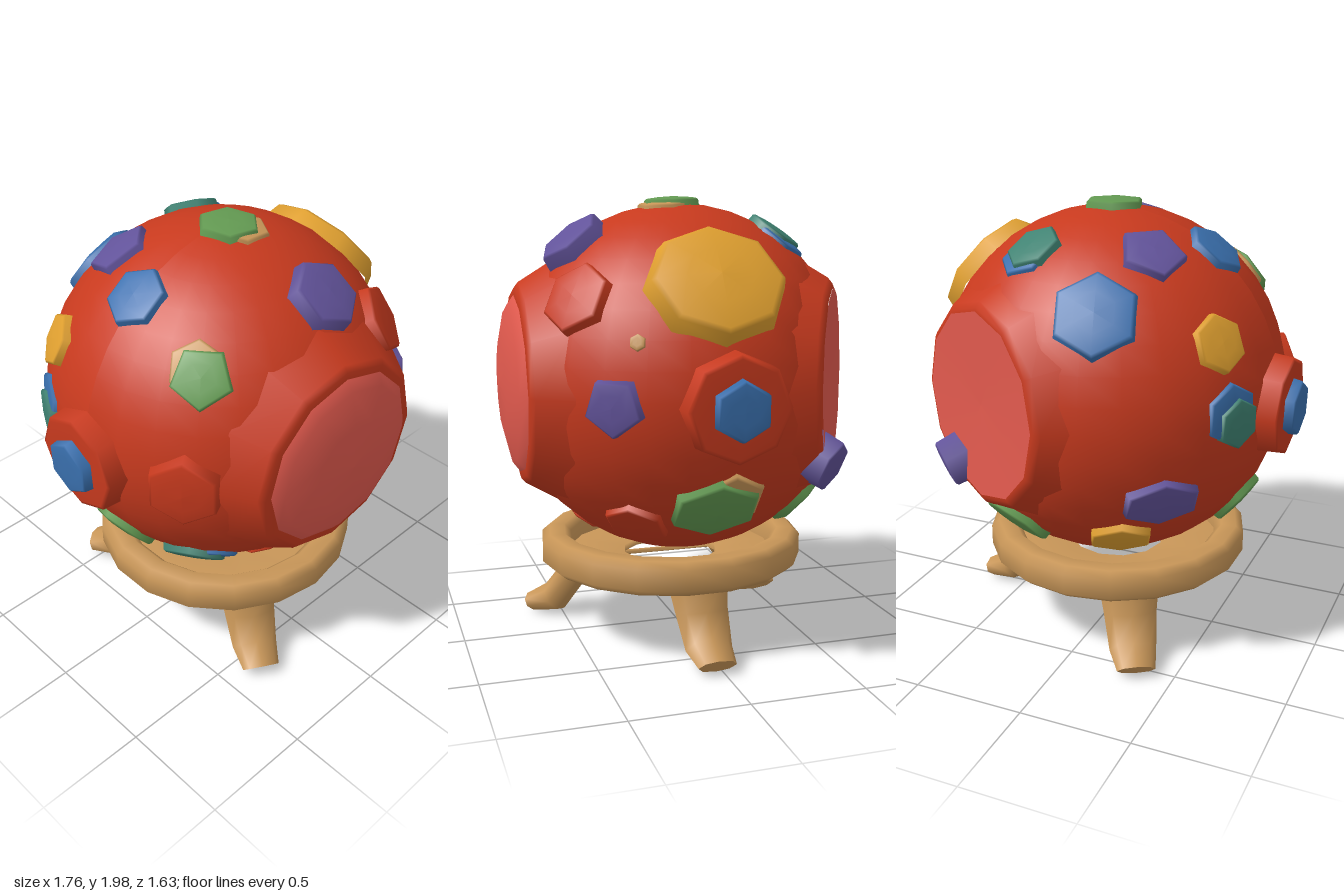
import * as THREE from 'three';

const CENTRE = new THREE.Vector3(0.01, 1.18, 0);
const R = 0.78;

function paint(name, color) {
  const m = new THREE.MeshStandardMaterial({ color });
  m.name = name;
  return m;
}

// Solid of revolution from [radius, height] pairs
function turned(pts, sides) {
  return new THREE.LatheGeometry(pts.map(p => new THREE.Vector2(...p)), sides);
}

export function createModel() {
  const red = paint('red', 0xc83a1e);
  const pink = paint('pink', 0xe25a4e);
  const yellow = paint('yellow', 0xe0a030);
  const green = paint('green', 0x639a52);
  const teal = paint('teal', 0x3f8272);
  const blue = paint('blue', 0x3a70ae);
  const purple = paint('purple', 0x62539a);
  const tan = paint('tan', 0xc89658);

  const model = new THREE.Group();
  model.name = 'spottedBallOnStand';

  function add(parent, name, geometry, material) {
    const mesh = new THREE.Mesh(geometry, material);
    mesh.name = name;
    parent.add(mesh);
    return mesh;
  }

  // Group at the ball's centre whose +z points through the given point
  function facing(name, [x, y, z]) {
    const g = new THREE.Group();
    g.name = name;
    g.position.copy(CENTRE);
    g.lookAt(x, y, z);
    model.add(g);
    return g;
  }

  // Soft-edged polygonal pad; its middle lies at distance 'out' from the centre and
  // 'curve' says how closely it follows the roundness of the ball
  function pad(name, mat, at, r, { out = R + 0.03, sides = 6, wide = 1, depth = 0.08, curve = 1 } = {}) {
    const height = k => out - curve * (out - Math.sqrt(out * out - k * k * r * r));
    const geo = turned([[r * 1.05, height(1) - depth], [r * 0.98, height(1) - 0.006],
      [r * 0.9, height(0.9)], [r * 0.5, height(0.5)], [0, out]], sides);
    geo.rotateX(Math.PI / 2);
    geo.scale(wide, 1, 1);
    add(facing(name + 'Mount', at), name, geo, mat);
  }

  // Ball, pressed flat behind the two windows
  const frontAt = [-0.03, 1.165, 1];
  const backAt = [0.51, 1.19, -0.86];
  const ballGeo = new THREE.SphereGeometry(R, 28, 20);
  const points = ballGeo.attributes.position;
  const v = new THREE.Vector3();
  const flats = [[frontAt, 0.7], [backAt, 0.675]].map(([at, d]) =>
    [new THREE.Vector3(...at).sub(CENTRE).normalize(), d]);
  for (let i = 0; i < points.count; i++) {
    v.fromBufferAttribute(points, i);
    for (const [n, d] of flats) v.addScaledVector(n, -Math.max(0, v.dot(n) - d));
    points.setXYZ(i, v.x, v.y, v.z);
  }
  ballGeo.computeVertexNormals();
  add(model, 'ball', ballGeo, red).position.copy(CENTRE);

  // Windows: a low collar holding a lathe-turned pane
  function porthole(name, at, rim, hole, pane) {
    const g = facing(name, at);
    const collar = [[0.54, rim - 0.17], [0.45, rim - 0.02], [0.425, rim], [hole - 0.01, rim]];
    add(g, name + 'Collar', turned(collar, 12).rotateX(Math.PI / 2), red);
    add(g, name + 'Pane', turned(pane, 12).rotateX(Math.PI / 2), pink);
  }
  porthole('frontWindow', frontAt, 0.73, 0.39,
    [[0.395, 0.732], [0.35, 0.765], [0.2, 0.8], [0, 0.812]]);
  porthole('backWindow', backAt, 0.705, 0.41,
    [[0.41, 0.709], [0.2, 0.7], [0, 0.695]]);

  // Side hubs with blue caps
  for (const s of [-1, 1]) {
    const at = [s, 1.15, -0.01];
    pad('sideHub', red, at, 0.225, { out: 0.835, sides: 8, depth: 0.2, curve: 0.1 });
    pad('sideHubCap', blue, at, 0.125, { out: 0.88, depth: 0.06, curve: 0.3 });
  }

  // Red bumps
  const bumps = [
    [[0.4, 1.56, 0.53], 0.16, 0.04], [[-0.68, 1.18, 0.48], 0.16, 0.05],
    [[0.46, 0.61, 0.32], 0.14, 0.025], [[-0.12, 0.52, 0.4], 0.1, 0.02],
  ];
  for (const [at, r, lift] of bumps) pad('redBump', red, at, r, { out: R + lift, depth: 0.1 });

  // Coloured spots
  const spots = [
    ['topSpot', green, [0.02, 1.98, 0.03], 0.135],
    ['frontTopSpot', purple, [0.1, 1.84, 0.53], 0.155, { out: R + 0.06 }],
    ['frontRightSpot', green, [-0.51, 1.65, 0.42], 0.13, { sides: 5 }],
    ['upperRightSpot', blue, [-0.47, 1.82, 0], 0.135],
    ['largeLeftSpot', yellow, [0.63, 1.64, 0.02], 0.26, { out: 0.845, sides: 8, wide: 1.1 }],
    ['backTopSpot', purple, [-0.29, 1.83, -0.3], 0.145, { sides: 5 }],
    ['backLeftTopSpot', teal, [0.2, 1.84, -0.4], 0.125],
    ['largeBackSpot', blue, [-0.18, 1.66, -0.63], 0.185],
    ['backRightSpot', yellow, [-0.61, 1.51, -0.36], 0.125],
    ['rearSideSpot', teal, [-0.69, 1.18, -0.35], 0.11],
    ['lowerBackSpot', purple, [-0.45, 0.86, -0.56], 0.12, { wide: 1.45 }],
    ['lowerRightSpot', green, [-0.6, 0.68, 0], 0.15],
    ['lowBackSpot', yellow, [-0.25, 0.64, -0.52], 0.12, { wide: 1.2 }],
    ['lowBackLeftSpot', green, [0.26, 0.63, -0.5], 0.15, { wide: 1.15 }],
    ['sideBackLeftSpot', purple, [0.55, 0.87, -0.48], 0.12, { out: R + 0.085, depth: 0.14 }],
    ['sideFrontLeftSpot', purple, [0.66, 1.16, 0.46], 0.125, { out: R + 0.045, sides: 5 }],
    ['lowerLeftSpot', green, [0.62, 0.71, 0.02], 0.165, { wide: 1.2 }],
    ['lowerFrontSpot', teal, [-0.45, 0.62, 0.3], 0.13, { wide: 1.15 }],
  ];
  for (const [name, mat, at, r, opts] of spots) pad(name, mat, at, r, opts);

  // Lower patches peeping out from under some spots
  const patches = [
    ['topPatch', tan, [0.05, 1.97, 0.07], 0.125],
    ['frontRightPatch', tan, [-0.51, 1.68, 0.39], 0.12],
    ['lowerLeftPatch', tan, [0.63, 0.74, -0.03], 0.165],
    ['backLeftTopPatch', blue, [0.23, 1.83, -0.42], 0.13],
    ['rearSidePatch', blue, [-0.68, 1.22, -0.37], 0.135],
    ['lowerFrontPatch', blue, [-0.38, 0.62, 0.34], 0.13],
    ['sideChip', tan, [0.68, 1.42, 0.37], 0.035],
  ];
  for (const [name, mat, at, r] of patches) pad(name, mat, at, r, { out: R + 0.015 });

  // Stand: rounded ring, inner shelf, thin brace and three splayed legs
  const stand = new THREE.Group();
  stand.name = 'stand';
  stand.position.set(0, 0, 0.03);
  model.add(stand);

  add(stand, 'ring', turned([[0.47, 0.35], [0.5, 0.32], [0.57, 0.32], [0.605, 0.35], [0.605, 0.44],
    [0.57, 0.47], [0.5, 0.47], [0.47, 0.44], [0.47, 0.35]], 18), tan);
  add(stand, 'shelf', turned([[0.22, 0.33], [0.49, 0.335], [0.49, 0.37], [0.22, 0.36], [0.22, 0.33]], 12), tan);
  const brace = new THREE.TorusGeometry(0.4, 0.04, 4, 3).rotateX(Math.PI / 2).scale(1, 0.3, 1);
  add(stand, 'brace', brace, tan).position.y = 0.295;

  // Leg sections from top to toe: inner point, outer point, half width
  const sections = [
    [[0.29, 0.33], [0.54, 0.36], 0.14],
    [[0.4, 0.2], [0.55, 0.23], 0.12],
    [[0.53, 0.02], [0.62, 0.14], 0.105],
    [[0.66, 0.01], [0.72, 0.08], 0.085],
  ];
  const legGeo = new THREE.CylinderGeometry(1, 1, 1, 8, 3);
  const pos = legGeo.attributes.position;
  for (let i = 0; i < pos.count; i++) {
    const [a, b, w] = sections[Math.round((0.5 - pos.getY(i)) * 3)];
    const t = (pos.getX(i) + 1) / 2;
    pos.setXYZ(i, a[0] + (b[0] - a[0]) * t, a[1] + (b[1] - a[1]) * t, pos.getZ(i) * w);
  }
  legGeo.computeVertexNormals();
  for (let i = 0; i < 3; i++) {
    add(stand, 'leg', legGeo, tan).rotation.y = (i * Math.PI * 2) / 3;
  }

  return model;
}
